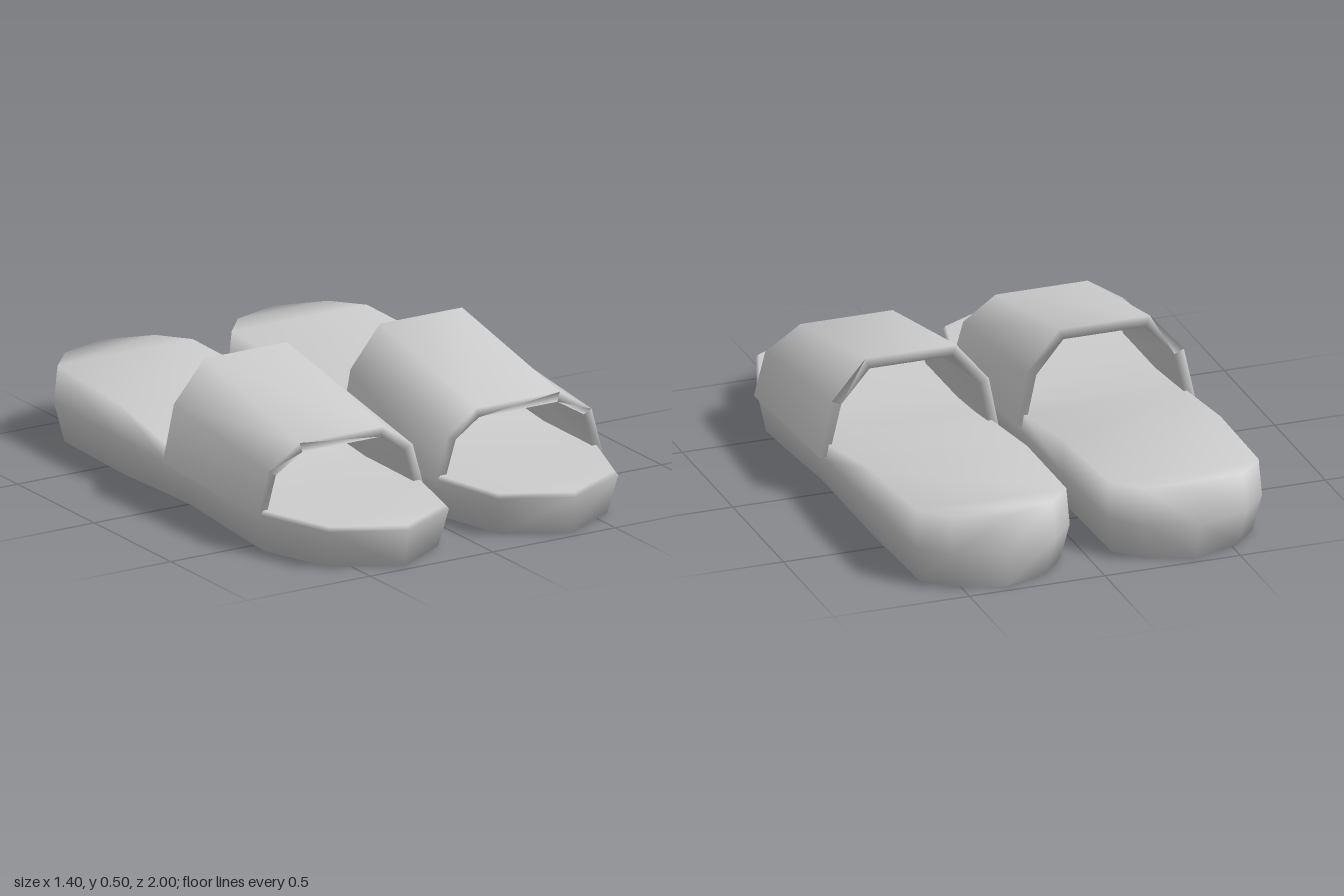
import * as THREE from 'three';
import { mergeVertices } from 'three/addons/utils/BufferGeometryUtils.js';

// Skin a row of closed rings, capping both ends; side = -1 mirrors in x
function loft(rings, side) {
  const n = rings[0].length, index = [];
  const tri = (a, b, c) => (side > 0 ? index.push(a, b, c) : index.push(a, c, b));
  for (let i = 0; i < rings.length - 1; i++) {
    for (let j = 0; j < n; j++) {
      const a = i * n + j, b = i * n + (j + 1) % n, c = b + n, d = a + n;
      tri(a, d, c);
      tri(a, c, b);
    }
  }
  const last = (rings.length - 1) * n;
  for (let j = 1; j < n - 1; j++) {
    tri(0, j, j + 1);
    tri(last, last + j + 1, last + j);
  }
  const points = rings.flat().flatMap(([x, y, z]) => [x * side, y, z]);
  let geometry = new THREE.BufferGeometry();
  geometry.setAttribute('position', new THREE.Float32BufferAttribute(points, 3));
  geometry.setIndex(index);
  geometry = mergeVertices(geometry, 1e-4);
  geometry.computeVertexNormals();
  return geometry;
}

// Sole stations from heel to toe: z, inner x, outer x, bottom y, top y
const SOLE = [
  [-1.0, 0.35, 0.35, 0, 0.275],
  [-0.945, 0.16, 0.545, 0, 0.275],
  [-0.84, 0.07, 0.64, 0, 0.273],
  [-0.42, 0.06, 0.655, 0, 0.26],
  [-0.04, 0.05, 0.67, 0.02, 0.2],
  [0.08, 0.047, 0.675, 0.024, 0.183],
  [0.28, 0.04, 0.683, 0.015, 0.157],
  [0.59, 0.03, 0.69, 0, 0.155],
  [0.875, 0.1, 0.59, 0, 0.155],
  [1.0, 0.34, 0.34, 0, 0.155],
];

function soleRings() {
  return SOLE.map(([z, xi, xo, y0, y1]) => {
    const tip = xi === xo;
    const low = tip ? 0 : 0.025, high = tip ? 0 : 0.009;
    const zl = z * 0.965, zh = z * 0.988;
    return [
      [xi + low, y0, zl], [xi, 0.14, z], [xi + high, y1, zh],
      [xo - high, y1, zh], [xo, 0.14, z], [xo - low, y0, zl],
    ];
  });
}

// Strap arch, inner foot to outer foot: [x, y] of each edge
const FRONT_OUT = [[0.025, 0.13], [0.07, 0.29], [0.19, 0.375], [0.53, 0.375], [0.66, 0.29], [0.702, 0.13]];
const FRONT_IN = [[0.06, 0.13], [0.105, 0.275], [0.2, 0.34], [0.52, 0.34], [0.628, 0.275], [0.668, 0.13]];
const REAR_OUT = [[0.03, 0.155], [0.07, 0.36], [0.19, 0.505], [0.525, 0.505], [0.65, 0.36], [0.695, 0.155]];
const REAR_IN = [[0.065, 0.155], [0.105, 0.345], [0.205, 0.465], [0.51, 0.465], [0.615, 0.345], [0.66, 0.155]];

function strapRings() {
  return FRONT_OUT.map((p, i) => [
    [...p, 0.59], [...REAR_OUT[i], -0.04], [...REAR_IN[i], -0.04], [...FRONT_IN[i], 0.59],
  ]);
}

export function createModel() {
  const model = new THREE.Group();
  model.name = 'slippers';
  const material = new THREE.MeshStandardMaterial({ color: 0xcccccc });
  for (const side of [1, -1]) {
    const slipper = new THREE.Group();
    slipper.name = side > 0 ? 'leftSlipper' : 'rightSlipper';
    const sole = new THREE.Mesh(loft(soleRings(), side), material);
    sole.name = 'sole';
    const strap = new THREE.Mesh(loft(strapRings(), side), material);
    strap.name = 'strap';
    slipper.add(sole, strap);
    model.add(slipper);
  }
  return model;
}
